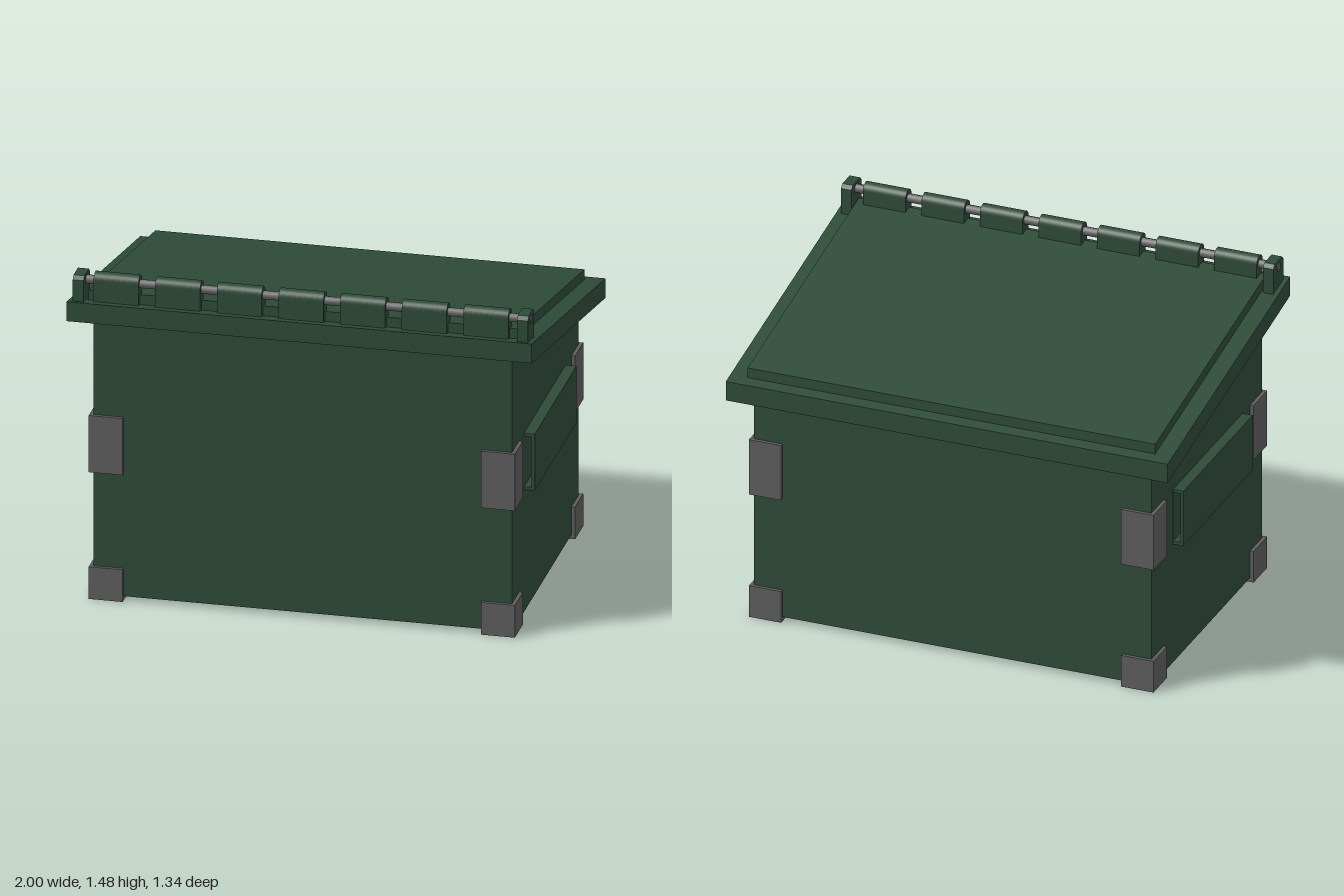
import * as THREE from 'three';

const green = new THREE.MeshStandardMaterial({ color: 0x2f4b39 });
green.name = 'dark green paint';
const grey = new THREE.MeshStandardMaterial({ color: 0x5e5e5e });
grey.name = 'grey steel';

// height of the sloping rim top at depth z
const rimTop = (z) => 1.235 + z * 0.185;

function add(parent, name, geometry, material) {
  const mesh = new THREE.Mesh(geometry, material);
  mesh.name = name;
  parent.add(mesh);
  return mesh;
}

// extrude a (z, y) profile along x, centred on x = cx
function acrossX(shape, width, cx = 0) {
  const g = new THREE.ExtrudeGeometry(shape, { depth: width, bevelEnabled: false });
  return g.translate(0, 0, -width / 2).rotateY(-Math.PI / 2).translate(cx, 0, 0);
}

const polygon = (points) => new THREE.Shape(points.map(([a, b]) => new THREE.Vector2(a, b)));

function rectangle(w, h) {
  return polygon([[-w / 2, -h / 2], [w / 2, -h / 2], [w / 2, h / 2], [-w / 2, h / 2]]);
}

// hollow rectangular tube along z, centred
function rectTube(w, h, wall, length) {
  const shape = rectangle(w, h);
  shape.holes.push(rectangle(w - 2 * wall, h - 2 * wall));
  const g = new THREE.ExtrudeGeometry(shape, { depth: length, bevelEnabled: false });
  return g.translate(0, 0, -length / 2);
}

// slab following the roof slope, between two offsets from the rim top
function slopedSlab(back, front, low, high) {
  return polygon([
    [back, rimTop(back) + low], [front, rimTop(front) + low],
    [front, rimTop(front) + high], [back, rimTop(back) + high],
  ]);
}

export function createModel() {
  const model = new THREE.Group();
  model.name = 'dumpster';

  // container with sloping top, overhanging rim and lid
  const bodyProfile = polygon([
    [-0.607, 0.02], [0.607, 0.02], [0.607, rimTop(0.607) - 0.05], [-0.607, rimTop(-0.607) - 0.05],
  ]);
  add(model, 'body', acrossX(bodyProfile, 1.8), green);
  add(model, 'rim', acrossX(slopedSlab(-0.672, 0.672, -0.088, 0), 2), green);
  add(model, 'lid', acrossX(slopedSlab(-0.62, 0.6, -0.02, 0.045), 1.845), green);

  // fork pockets on both sides, open at their ends
  for (const side of [1, -1]) {
    const pocket = add(model, side > 0 ? 'leftForkPocket' : 'rightForkPocket',
      rectTube(0.06, 0.257, 0.014, 0.76), green);
    pocket.position.set(side * 0.917, 0.703, 0.01);
  }

  // hollow steel feet and guards on the four corners
  for (const x of [0.843, -0.843]) {
    for (const z of [0.549, -0.549]) {
      const foot = add(model, 'cornerFoot', rectTube(0.146, 0.148, 0.018, 0.146), grey);
      foot.rotation.x = Math.PI / 2;
      foot.position.set(x, 0.073, z);
      const guard = add(model, 'cornerGuard', new THREE.BoxGeometry(0.146, 0.257, 0.148), grey);
      guard.position.set(x, 0.703, z);
    }
  }

  // hinge: rod, lid knuckles and end brackets
  const hinge = new THREE.Group();
  hinge.name = 'hinge';
  model.add(hinge);

  const rod = add(hinge, 'hingeRod', new THREE.CylinderGeometry(0.02, 0.02, 1.964, 8), grey);
  rod.rotation.z = Math.PI / 2;
  rod.position.set(0, 1.438, 0.593);

  const knuckle = new THREE.Shape();
  knuckle.moveTo(0.56, 1.34);
  knuckle.lineTo(0.626, 1.34);
  knuckle.lineTo(0.626, 1.443);
  knuckle.absarc(0.593, 1.443, 0.033, 0, Math.PI, false);
  knuckle.lineTo(0.56, 1.34);
  for (let i = -3; i <= 3; i++) {
    add(hinge, 'hingeKnuckle', acrossX(knuckle, 0.193, i * 0.265 - 0.003), green);
  }

  const bracket = polygon([
    [0.538, 1.3], [0.65, 1.3], [0.65, 1.452], [0.634, 1.468], [0.554, 1.468], [0.538, 1.452],
  ]);
  for (const side of [1, -1]) {
    add(hinge, side > 0 ? 'leftBracket' : 'rightBracket', acrossX(bracket, 0.047, side * 0.955), green);
  }

  return model;
}
